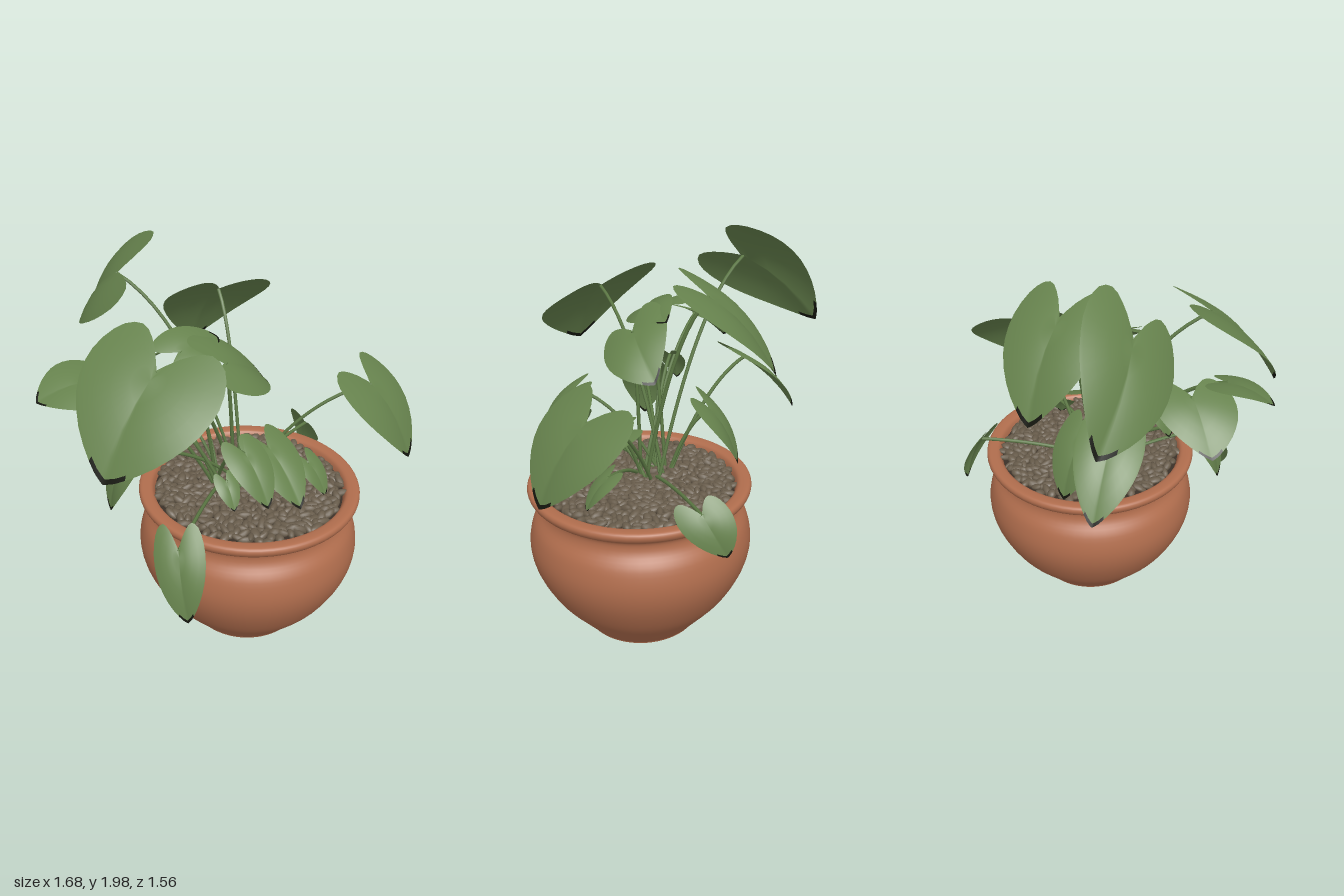
import * as THREE from 'three';
import { mergeGeometries } from 'three/addons/utils/BufferGeometryUtils.js';

const V = (x, y, z) => new THREE.Vector3(x, y, z);
const POT = { x: 0.11, z: 0.22 };

// Large leaves: two lobe tops and the tip
const LARGE = [
  ['topLeaf', [-0.06, 2.0, -0.3], [-0.36, 1.74, -0.18], [-0.17, 1.46, -0.78]],
  ['backLeftLeaf', [-0.57, 1.48, -0.08], [-0.28, 1.48, -0.19], [-0.6, 1.27, -0.41]],
  ['backDroopingLeaf', [-0.02, 1.38, -0.28], [-0.28, 1.34, -0.28], [-0.12, 1.0, -0.66]],
  ['backRightLeaf', [0.33, 1.78, 0.09], [-0.07, 1.8, -0.04], [0.23, 1.32, -0.43]],
  ['sideLeaf', [-0.52, 1.5, -0.2], [-0.55, 1.42, 0.07], [-0.83, 1.41, -0.13]],
  ['largeFrontLeaf', [-0.44, 1.75, 0], [-0.25, 1.65, 0.5], [-0.81, 1.25, 0.38]],
  ['centreLeaf', [-0.18, 1.62, 0.08], [-0.12, 1.44, 0.34], [0.23, 1.33, 0.16]],
  ['upperInnerLeaf', [-0.32, 1.6, 0.01], [-0.29, 1.5, 0.2], [0.03, 1.56, 0.06]],
  ['rightFrontLeaf', [0.35, 1.42, 0.52], [0.75, 1.39, 0.34], [0.67, 1.0, 0.75]],
  ['rimLeaf', [0.61, 0.89, 0.17], [0.62, 0.94, -0.03], [0.72, 0.67, -0.06]],
  ['hangingLeaf', [-0.55, 0.9, 0.36], [-0.41, 0.93, 0.5], [-0.55, 0.5, 0.6]],
];

// Small leaves: top centre, heading and droop in degrees, length
const SMALL = [
  ['lowHeartLeaf', [0.13, 1.09, 0.23], 0, 37, 0.44],
  ['smallHeartLeaf', [-0.15, 1.24, 0.42], 0, 45, 0.34],
  ['narrowLeaf', [-0.44, 1.2, 0.08], -100, 66, 0.4],
  ['smallRightLeaf', [0.32, 0.96, 0.36], 12, 48, 0.25],
  ['lowBackLeaf', [0.025, 1.18, -0.08], 156, 58, 0.43],
  ['youngLeaf', [-0.14, 1, 0.315], -8, 50, 0.19],
  ['youngBackLeaf', [-0.25, 1.325, 0], -126, 55, 0.24],
];

// Heart outline: u across, v from the lobes (0) to the tip (1)
const HALF = [[0, 0.22], [0.3, 0.06], [0.65, -0.03], [1, 0.05], [1.18, 0.27],
  [1.08, 0.52], [0.72, 0.76], [0.26, 0.94], [0, 1]];

function heartOutline() {
  const half = new THREE.SplineCurve(HALF.map(p => new THREE.Vector2(...p))).getPoints(20);
  const other = half.slice(1, -1).reverse().map(p => new THREE.Vector2(-p.x, p.y));
  return [...half, ...other];
}

// Maps heart coordinates to a gently arched surface
function leafSurface(mid, side, axis) {
  const normal = side.clone().cross(axis).normalize();
  if (normal.y < 0) { normal.negate(); side.negate(); }
  const len = axis.length();
  return (u, v) => mid.clone()
    .addScaledVector(side, u)
    .addScaledVector(axis, v)
    .addScaledVector(normal, len * (0.1 * Math.sin(Math.PI * v) - 0.07 * u * u + 0.06 * Math.abs(u)));
}

function largeSurface(a, b, tip) {
  const mid = V(...a).add(V(...b)).multiplyScalar(0.5);
  return leafSurface(mid, V(...b).sub(mid), V(...tip).sub(mid));
}

function smallSurface(mid, heading, droop, length) {
  const h = THREE.MathUtils.degToRad(heading), d = THREE.MathUtils.degToRad(droop);
  const side = V(Math.cos(h), 0, -Math.sin(h)).multiplyScalar(length * 0.27);
  const axis = V(Math.sin(h) * Math.cos(d), -Math.sin(d), Math.cos(h) * Math.cos(d));
  return leafSurface(V(...mid), side, axis.multiplyScalar(length));
}

// Rings growing from inside the heart; the rim near the tip is a second group
function leafGeometry(surface) {
  const outline = heartOutline(), n = outline.length, cv = 0.3;
  const rings = [0.25, 0.5, 0.75, 0.95, 1];
  const pos = [...surface(0, cv).toArray()], blade = [], rim = [];
  for (const s of rings) {
    for (const p of outline) pos.push(...surface(p.x * s, cv + (p.y - cv) * s).toArray());
  }
  for (let i = 0; i < n; i++) {
    const j = (i + 1) % n;
    blade.push(0, 1 + i, 1 + j);
    for (let r = 0; r < rings.length - 1; r++) {
      const a = 1 + r * n + i, b = 1 + r * n + j;
      const dry = r === rings.length - 2 && Math.min(outline[i].y, outline[j].y) > 0.85;
      (dry ? rim : blade).push(a, a + n, b + n, a, b + n, b);
    }
  }
  const g = new THREE.BufferGeometry();
  g.setAttribute('position', new THREE.Float32BufferAttribute(pos, 3));
  g.setIndex([...blade, ...rim]);
  g.addGroup(0, blade.length, 0);
  g.addGroup(blade.length, rim.length, 1);
  g.computeVertexNormals();
  return g;
}

// Stalk rising from the soil and bending over to the leaf
function stemGeometry(end, i) {
  const t = i * 2.4;
  const base = V(0.05 + 0.07 * Math.cos(t), 0.75, 0.13 + 0.07 * Math.sin(t));
  const bend = base.clone().lerp(end, 0.45);
  bend.y = Math.max(0.86, base.y + (end.y - base.y) * 0.85);
  const curve = new THREE.QuadraticBezierCurve3(base, bend, end);
  return new THREE.TubeGeometry(curve, 16, 0.009, 6);
}

// Tumbled stones spread in a sunflower pattern
function pebbleGeometry() {
  let seed = 7;
  const rnd = () => (seed = (seed * 16807) % 2147483647) / 2147483647;
  const list = [], count = 520;
  for (let i = 0; i < count; i++) {
    const r = 0.465 * Math.sqrt((i + 0.5) / count), a = i * 2.39996;
    const g = new THREE.IcosahedronGeometry(1, 1);
    g.scale(0.028 + rnd() * 0.018, 0.014 + rnd() * 0.008, 0.016 + rnd() * 0.008);
    g.rotateZ((rnd() - 0.5) * 0.9);
    g.rotateY(rnd() * Math.PI * 2);
    g.translate(r * Math.cos(a), 0.772 + rnd() * 0.012, r * Math.sin(a));
    list.push(g);
  }
  return mergeGeometries(list);
}

export function createModel() {
  const group = new THREE.Group();
  const mat = (name, color) => {
    const m = new THREE.MeshStandardMaterial({ color });
    m.name = name;
    return m;
  };
  const terracotta = mat('terracotta', 0xb06d4d);
  const stone = mat('pebbleBrown', 0x685c4b);
  const soilMat = mat('darkSoil', 0x3a3028);
  const green = mat('leafGreen', 0x66824d);
  const dryEdge = mat('dryLeafEdge', 0x14160e);
  green.side = dryEdge.side = THREE.DoubleSide;
  const stemGreen = mat('stemGreen', 0x5c7844);
  const add = (name, geometry, material) => {
    const m = new THREE.Mesh(geometry, material);
    m.name = name;
    group.add(m);
    return m;
  };

  // Round-bellied pot with a flared rim
  const profile = new THREE.SplineCurve([[0.3, 0.01], [0.375, 0.1], [0.47, 0.22], [0.54, 0.36],
    [0.562, 0.48], [0.54, 0.59], [0.495, 0.66], [0.487, 0.71], [0.515, 0.74], [0.545, 0.755],
    [0.557, 0.78], [0.548, 0.8], [0.52, 0.803], [0.49, 0.795], [0.475, 0.76], [0.47, 0.72]]
    .map(p => new THREE.Vector2(...p))).getPoints(60);
  const pot = add('pot', new THREE.LatheGeometry(profile, 64), terracotta);
  const foot = add('potBase', new THREE.CylinderGeometry(0.3, 0.295, 0.012, 64), terracotta);
  foot.position.y = 0.006;

  // Soil and its pebble covering
  const soil = add('soil', new THREE.CylinderGeometry(0.475, 0.475, 0.03, 48), soilMat);
  soil.position.y = 0.75;
  const pebbles = add('pebbles', pebbleGeometry(), stone);
  for (const m of [pot, foot, soil, pebbles]) {
    m.position.x = POT.x;
    m.position.z = POT.z;
  }

  // Leaves with their stalks
  const leaves = [
    ...LARGE.map(([name, ...shape]) => [name, largeSurface(...shape)]),
    ...SMALL.map(([name, ...shape]) => [name, smallSurface(...shape)]),
  ];
  leaves.forEach(([name, surface], i) => {
    add(name, leafGeometry(surface), [green, dryEdge]);
    add(name + 'Stem', stemGeometry(surface(0, 0.24), i), stemGreen);
  });
  return group;
}
